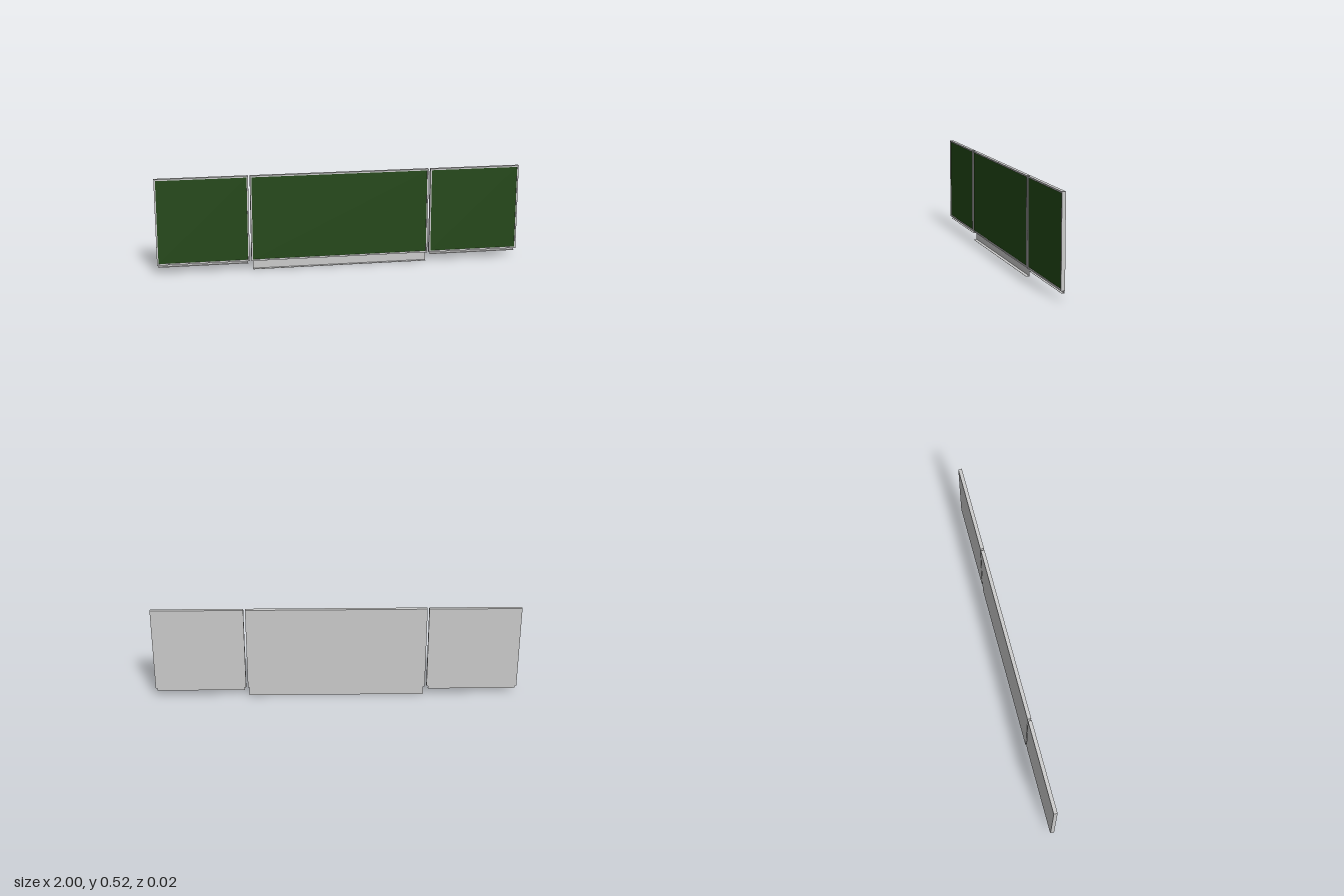
import * as THREE from 'three';

const grey = new THREE.MeshStandardMaterial({ color: 0xcccccc, side: THREE.DoubleSide });
const green = new THREE.MeshStandardMaterial({ color: 0x224715 });

const BOTTOM = 0.048, TOP = 0.525, BACK = -0.01, FRONT = 0.01, RIM = 0.008;

// Box given by its two opposite corners
function box(name, x0, x1, y0, y1, z0, z1, material = grey) {
  const mesh = new THREE.Mesh(new THREE.BoxGeometry(x1 - x0, y1 - y0, z1 - z0), material);
  mesh.position.set((x0 + x1) / 2, (y0 + y1) / 2, (z0 + z1) / 2);
  mesh.name = name;
  return mesh;
}

function rectangle(PathType, x0, x1, y0, y1) {
  return new PathType([[x0, y0], [x1, y0], [x1, y1], [x0, y1]].map(p => new THREE.Vector2(...p)));
}

// One framed writing panel with an L-shaped chalk ledge hanging below it
function boardPanel(name, x0, x1, ledgeY, ledgeFront) {
  const panel = new THREE.Group();
  panel.name = name;

  // Rim around the recessed writing surface
  const outline = rectangle(THREE.Shape, x0, x1, BOTTOM, TOP);
  outline.holes.push(rectangle(THREE.Path, x0 + RIM, x1 - RIM, BOTTOM + RIM, TOP - RIM));
  const rim = new THREE.Mesh(
    new THREE.ExtrudeGeometry(outline, { depth: FRONT - BACK, bevelEnabled: false }), grey);
  rim.position.z = BACK;
  rim.name = 'frame';
  panel.add(rim);

  // Back plate and writing surface
  const a = x0 + RIM, b = x1 - RIM, c = BOTTOM + RIM, d = TOP - RIM;
  panel.add(box('backPlate', a, b, c, d, BACK, 0));
  panel.add(box('writingSurface', a, b, c, d, 0, 0.006, green));

  // Ledge: thin upright at the back and a thin shelf
  const t = 0.001;
  panel.add(box('ledgeUpright', a, b, ledgeY, BOTTOM, BACK, BACK + t));
  panel.add(box('ledgeShelf', a, b, ledgeY, ledgeY + t, BACK, ledgeFront));
  return panel;
}

export function createModel() {
  const model = new THREE.Group();
  model.name = 'chalkboard';
  model.add(boardPanel('centrePanel', -0.49, 0.49, 0, FRONT));
  model.add(boardPanel('leftWing', 0.5, 1, 0.034, 0.003));
  model.add(boardPanel('rightWing', -1, -0.5, 0.034, 0.003));
  return model;
}
